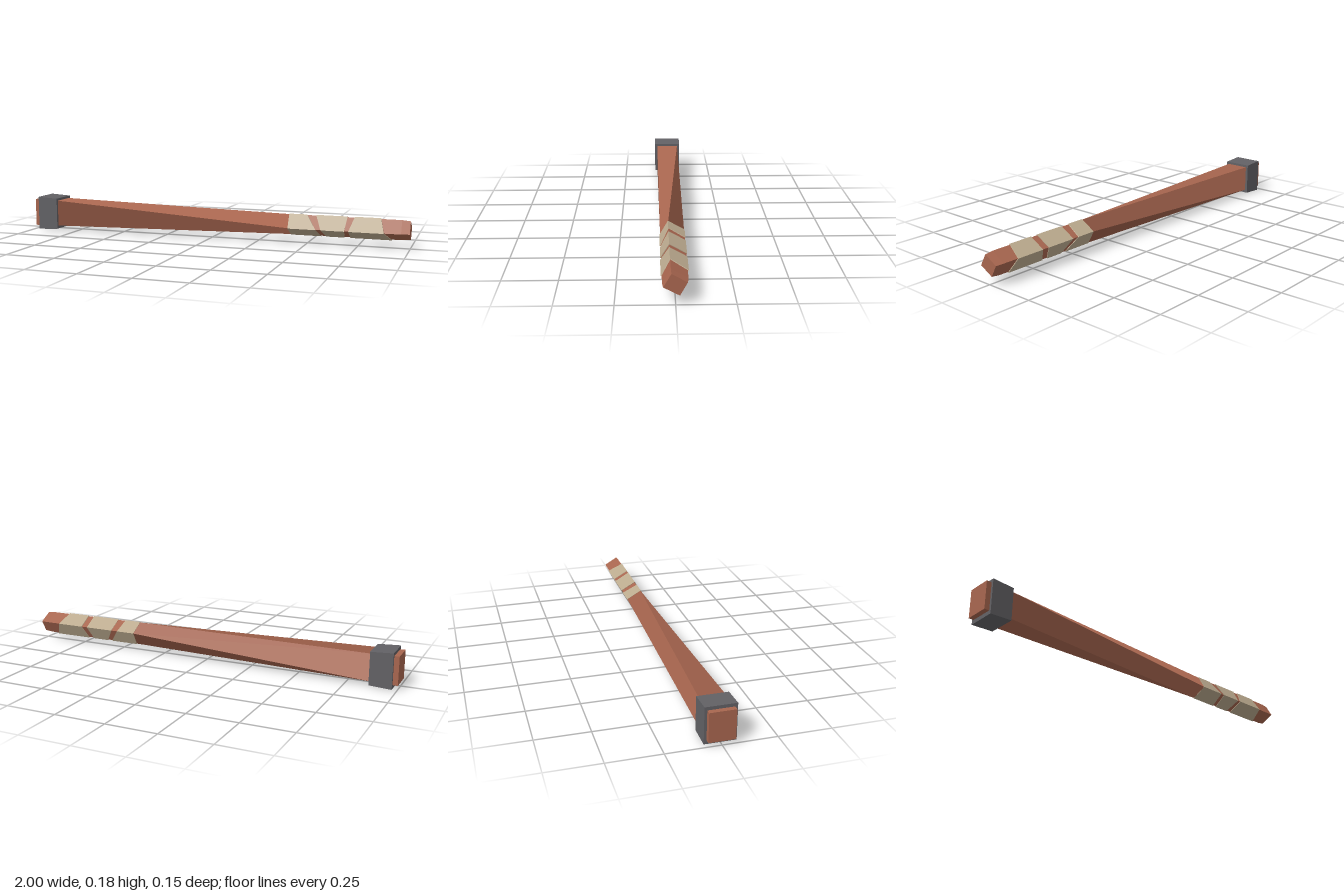
import * as THREE from 'three';

const wood = new THREE.MeshStandardMaterial({ name: 'wood', color: 0xa8664f });
const iron = new THREE.MeshStandardMaterial({ name: 'iron', color: 0x626165 });
const cloth = new THREE.MeshStandardMaterial({ name: 'cloth', color: 0xbcab8f });

// Corners of the thick end: top front, top back, bottom back, bottom front, as [y, z]
const rect = (x, y0, y1, z) => [[x, y1, z], [x, y1, -z], [x, y0, -z], [x, y0, z]];

// Corners of the twisted grip, in the same running order
const grip = [[0.076, 0.06], [0.1455, 0.0205], [0.101, -0.058], [0.033, -0.0205]];
const gripAt = (xs, s) => grip.map(([y, z], i) => [
  Array.isArray(xs) ? xs[i] : xs, 0.089 + (y - 0.089) * s, z * s,
]);

// Skins four-cornered sections running along +x, with one flat normal per side, and caps both ends
function loft(name, sections, material) {
  const pos = [], nor = [];
  const quad = (a, b, c, d) => {
    const [A, B, C, D] = [a, b, c, d].map((p) => new THREE.Vector3(...p));
    const n = C.clone().sub(A).cross(D.clone().sub(B)).normalize();
    for (const p of [A, B, C, A, C, D]) {
      pos.push(p.x, p.y, p.z);
      nor.push(n.x, n.y, n.z);
    }
  };
  for (let s = 0; s < sections.length - 1; s++) {
    const a = sections[s], b = sections[s + 1];
    for (let i = 0; i < 4; i++) {
      const j = (i + 1) % 4;
      quad(a[i], b[i], b[j], a[j]);
    }
  }
  const first = sections[0], last = sections[sections.length - 1];
  quad(...first);
  quad(last[3], last[2], last[1], last[0]);
  const g = new THREE.BufferGeometry();
  g.setAttribute('position', new THREE.Float32BufferAttribute(pos, 3));
  g.setAttribute('normal', new THREE.Float32BufferAttribute(nor, 3));
  const mesh = new THREE.Mesh(g, material);
  mesh.name = name;
  return mesh;
}

export function createModel() {
  const club = new THREE.Group();
  club.name = 'club';

  // Tapering shaft that twists from the thick head to the grip
  club.add(loft('shaft', [
    rect(-1, 0.019, 0.161, 0.061),
    rect(-0.87, 0.022, 0.158, 0.06),
    gripAt(0.42, 0.95),
    gripAt(0.96, 0.92),
    gripAt(1, 0.85),
  ], wood));

  // Iron collar round the head, slightly tapered
  club.add(loft('collar', [
    rect(-0.975, 0, 0.176, 0.073),
    rect(-0.865, 0.006, 0.17, 0.073),
  ], iron));

  // Cloth wraps on the grip, each cut at a slant: start and end x at every corner
  const wraps = [
    [[0.41, 0.41, 0.41, 0.41], [0.55, 0.5, 0.51, 0.565]],
    [[0.575, 0.545, 0.545, 0.59], [0.69, 0.7, 0.7, 0.68]],
    [[0.71, 0.735, 0.735, 0.71], [0.88, 0.86, 0.88, 0.91]],
  ];
  wraps.forEach(([start, end], i) => {
    club.add(loft(`gripWrap${i + 1}`, [gripAt(start, 1), gripAt(end, 1)], cloth));
  });

  return club;
}
